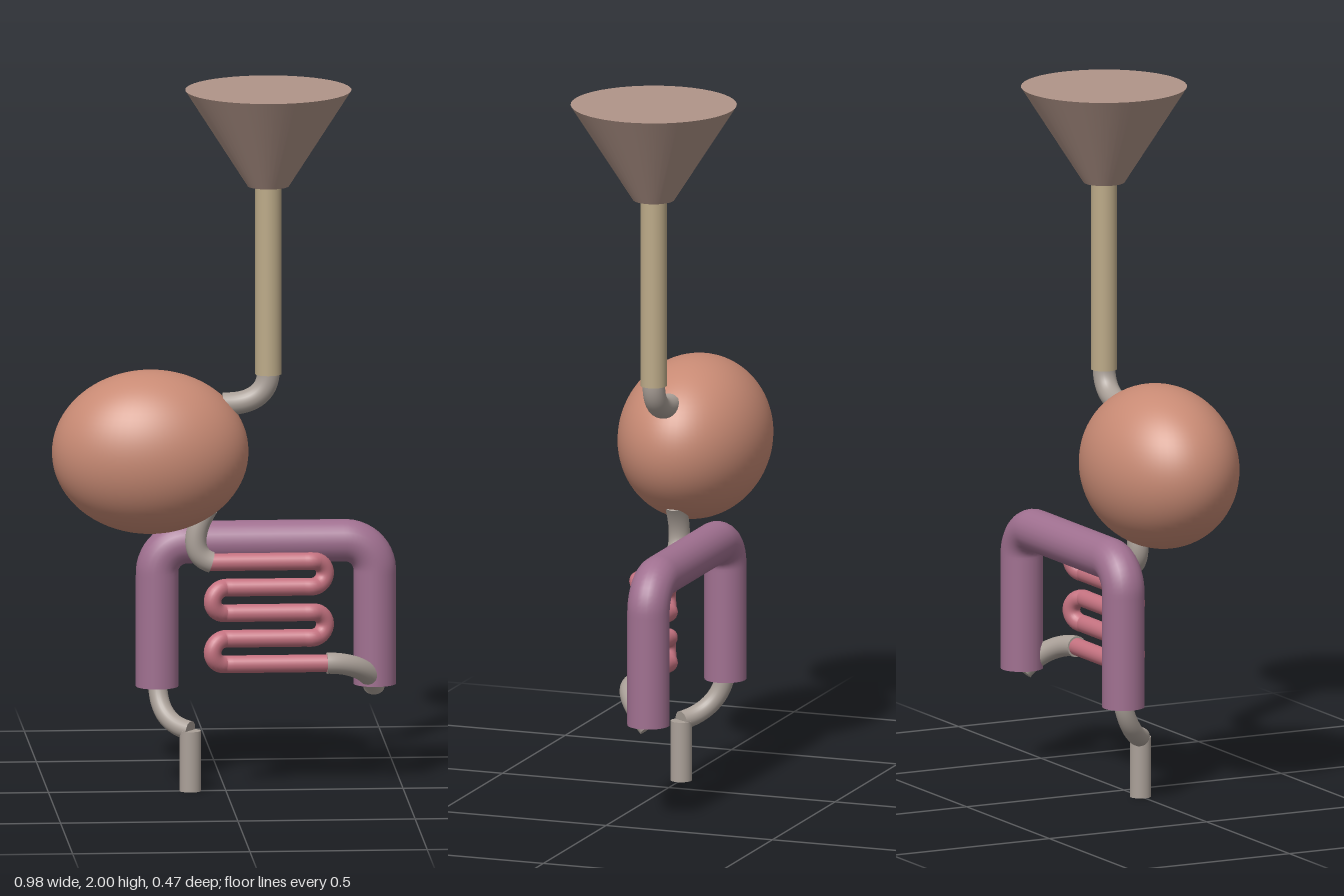
import * as THREE from 'three';

const V = (x, y, z = 0) => new THREE.Vector3(x, y, z);

export function createModel() {
  const model = new THREE.Group();
  const mat = (color) => new THREE.MeshStandardMaterial({ color });
  const funnelMat = mat(0xb09488), tubeMat = mat(0xbcaa88), linkMat = mat(0xaaa098);
  const bagMat = mat(0xc88a74), coilMat = mat(0xc47280), archMat = mat(0xa07090);

  function add(name, geometry, material, x = 0, y = 0, z = 0) {
    const mesh = new THREE.Mesh(geometry, material);
    mesh.name = name;
    mesh.position.set(x, y, z);
    model.add(mesh);
    return mesh;
  }

  // Round pipe along a curve, closed by a disc at each end
  function pipe(name, curve, radius, material, segments = 32) {
    const group = new THREE.Group();
    group.name = name;
    group.add(new THREE.Mesh(new THREE.TubeGeometry(curve, segments, radius, 24), material));
    for (const t of [0, 1]) {
      const cap = new THREE.Mesh(new THREE.CircleGeometry(radius, 24), material);
      const dir = curve.getTangentAt(t).multiplyScalar(t ? 1 : -1);
      cap.quaternion.setFromUnitVectors(V(0, 0, 1), dir);
      cap.position.copy(curve.getPointAt(t));
      group.add(cap);
    }
    model.add(group);
  }

  // Funnel and straight tube
  add('funnel', new THREE.CylinderGeometry(0.234, 0.058, 0.275, 48), funnelMat, 0.12, 1.8625);
  add('upperTube', new THREE.CylinderGeometry(0.037, 0.037, 0.54, 32), tubeMat, 0.12, 1.458);

  // Bent inlet into the bag
  pipe('inletElbow', new THREE.CubicBezierCurve3(
    V(0.12, 1.195), V(0.12, 1.14), V(0.08, 1.1), V(-0.01, 1.105)), 0.032, linkMat);

  // Egg-shaped bag
  add('bag', new THREE.SphereGeometry(1, 64, 40), bagMat, -0.213, 0.97, 0).scale.set(0.277, 0.232, 0.21);

  // Outlet from the bag to the coil
  pipe('outletElbow', new THREE.CubicBezierCurve3(
    V(-0.05, 0.81), V(-0.095, 0.74), V(-0.1, 0.67), V(-0.04, 0.652)), 0.03, linkMat);

  // Serpentine coil: five rows whose turns swing back on the right, forward on the left
  const rows = 5, top = 0.652, step = 0.073, bend = step / 2;
  const xLeft = -0.002, xRight = 0.245;
  const points = [V(-0.045, top)];
  for (let i = 0; i < rows; i++) {
    const y = top - i * step, s = i % 2 ? -1 : 1;
    const from = s > 0 ? xLeft : xRight, to = s > 0 ? xRight : xLeft;
    for (const k of [0.1, 0.5, 0.9]) points.push(V(from + (to - from) * k, y));
    if (i === rows - 1) break;
    for (let a = 0; a <= 8; a++) {
      const t = a / 8 * Math.PI;
      points.push(V(to + s * bend * Math.sin(t), y - bend + bend * Math.cos(t), -s * 0.019 * Math.sin(t)));
    }
  }
  points.push(V(0.29, top - (rows - 1) * step));
  pipe('coil', new THREE.CatmullRomCurve3(points), 0.025, coilMat, 240);

  // Link from the coil back to the arch
  pipe('coilLink', new THREE.CubicBezierCurve3(
    V(0.285, 0.36, 0), V(0.36, 0.36, -0.005), V(0.42, 0.325, -0.055), V(0.425, 0.275, -0.1)), 0.03, linkMat);

  // Thick arch behind the coil
  const zA = -0.1, xL = -0.187, xR = 0.427, yT = 0.693, yB = 0.283, r = 0.085;
  const arch = new THREE.CurvePath();
  arch.add(new THREE.LineCurve3(V(xR, yB, zA), V(xR, yT - r, zA)));
  const k = r * 0.4477;
  arch.add(new THREE.CubicBezierCurve3(V(xR, yT - r, zA), V(xR, yT - k, zA), V(xR - k, yT, zA), V(xR - r, yT, zA)));
  arch.add(new THREE.LineCurve3(V(xR - r, yT, zA), V(xL + r, yT, zA)));
  arch.add(new THREE.CubicBezierCurve3(V(xL + r, yT, zA), V(xL + k, yT, zA), V(xL, yT - k, zA), V(xL, yT - r, zA)));
  arch.add(new THREE.LineCurve3(V(xL, yT - r, zA), V(xL, yB, zA)));
  pipe('arch', arch, 0.06, archMat, 120);

  // Lower bend and drain tube
  pipe('drainElbow', new THREE.CubicBezierCurve3(
    V(-0.185, 0.29, -0.1), V(-0.185, 0.22, -0.085), V(-0.16, 0.18, -0.04), V(-0.1, 0.172, 0)), 0.027, linkMat);
  add('drainTube', new THREE.CylinderGeometry(0.03, 0.03, 0.172, 32), linkMat, -0.1, 0.086, 0);

  return model;
}
